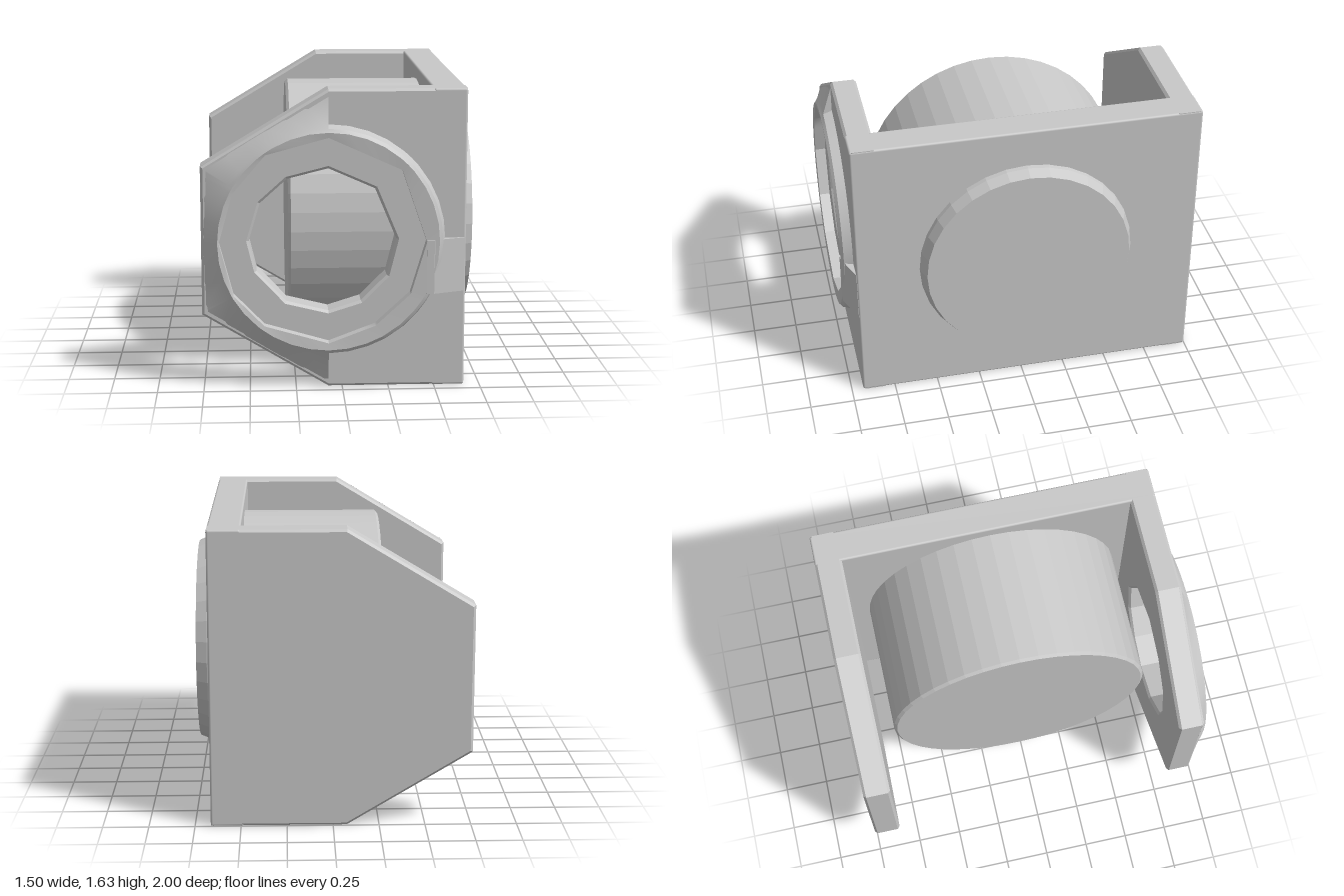
import * as THREE from 'three';
import { toCreasedNormals } from 'three/addons/utils/BufferGeometryUtils.js';
import { RoundedBoxGeometry } from 'three/addons/geometries/RoundedBoxGeometry.js';

const CX = -0.075, CY = 0.815; // centre of the arm opening
const toVecs = pts => pts.map(p => new THREE.Vector2(p[0], p[1]));

// Arm outline, and the two faceted openings relative to the centre
const outline = [[0.663, 0], [0.663, 1.63], [-0.075, 1.63], [-0.755, 1.22], [-0.755, 0.41], [-0.075, 0]];
const bore = [[0, 0.39], [-0.22, 0.335], [-0.365, 0.205], [-0.425, 0], [-0.385, -0.165], [-0.225, -0.335],
  [0, -0.39], [0.175, -0.335], [0.315, -0.195], [0.365, 0.005], [0.25, 0.28]];
const lip = [[0, 0.565], [-0.335, 0.475], [-0.51, 0.27], [-0.585, 0], [-0.51, -0.285], [-0.345, -0.455],
  [0, -0.555], [0.25, -0.46], [0.44, -0.285], [0.525, 0], [0.39, 0.39]];

// Distance from the centre to a polygon in the direction of an angle
function reach(poly, a) {
  const dx = Math.cos(a), dy = Math.sin(a);
  let best = 0;
  poly.forEach((p, i) => {
    const q = poly[(i + 1) % poly.length];
    const ex = q[0] - p[0], ey = q[1] - p[1], det = dy * ex - dx * ey;
    if (Math.abs(det) < 1e-9) return;
    const t = (p[1] * ex - p[0] * ey) / det, u = (dx * p[1] - dy * p[0]) / det;
    if (t > 0 && u > -1e-4 && u < 1 + 1e-4) best = Math.max(best, t);
  });
  return best;
}

// Plate with slightly bevelled edges and an optional opening
function armGeometry(z0, z1, hole) {
  const b = 0.014;
  const shape = new THREE.Shape(toVecs(outline));
  if (hole) shape.holes.push(new THREE.Path(toVecs(bore.map(p => [p[0] + CX, p[1] + CY]))));
  const geo = new THREE.ExtrudeGeometry(shape, {
    depth: z1 - z0 - 2 * b, bevelThickness: b, bevelSize: b, bevelOffset: -b, bevelSegments: 1,
  });
  return geo.translate(0, 0, z0 + b);
}

// Raised collar: round on the right, sloping out to the arm's edge on the left
function collarGeometry() {
  const edge = outline.map(p => [p[0] - CX, p[1] - CY]);
  const angles = [];
  for (let d = 0; d < 360; d += 10) angles.push(d * Math.PI / 180);
  [...lip, edge[3], edge[4]].forEach(p => angles.push((Math.atan2(p[1], p[0]) + 2 * Math.PI) % (2 * Math.PI)));
  angles.sort((a, b) => a - b);
  const unique = angles.filter((a, i) => i === 0 || a - angles[i - 1] > 1e-4);

  const columns = [];
  const addColumn = (a, left) => {
    const r = reach(lip, a);
    const profile = [[r, 0.93], [r, 0.995], [0.593, 1], [0.612, 0.985], left ? [reach(edge, a), 0.922] : [0.63, 0.93]];
    columns.push(profile.map(([d, z]) => [CX + d * Math.cos(a), CY + d * Math.sin(a), z]));
  };
  for (const a of unique) {
    const c = Math.cos(a);
    if (Math.abs(c) < 1e-4) { // both profiles meet at the seams
      const top = Math.sin(a) > 0;
      addColumn(a, !top);
      addColumn(a, top);
    } else addColumn(a, c < 0);
  }

  const pos = [];
  columns.forEach((p, i) => {
    const q = columns[(i + 1) % columns.length];
    for (let k = 0; k < p.length - 1; k++) {
      pos.push(...p[k], ...p[k + 1], ...q[k + 1], ...p[k], ...q[k + 1], ...q[k]);
    }
  });
  const geo = new THREE.BufferGeometry();
  geo.setAttribute('position', new THREE.Float32BufferAttribute(pos, 3));
  return toCreasedNormals(geo, 0.45);
}

// Closed turned part lying along x, from [radius, x] points
function turnedX(points, sides) {
  const geo = new THREE.LatheGeometry(toVecs(points), sides);
  geo.rotateZ(-Math.PI / 2);
  return toCreasedNormals(geo, 0.1);
}

export function createModel() {
  const group = new THREE.Group();
  const grey = new THREE.MeshStandardMaterial({ color: 0xc8c8c8, side: THREE.DoubleSide });
  grey.name = 'plain grey';
  const add = (name, geo, x = 0, y = 0, z = 0) => {
    const mesh = new THREE.Mesh(geo, grey);
    mesh.name = name;
    mesh.position.set(x, y, z);
    group.add(mesh);
  };

  // Bracket: side plate with an arm at each end
  add('sidePlate', new RoundedBoxGeometry(0.18, 1.63, 1.935, 2, 0.012), 0.575, 0.815, -0.0325);
  add('backArm', armGeometry(-1, -0.85, false));
  add('frontArm', armGeometry(0.79, 0.935, true));
  add('frontCollar', collarGeometry());

  // Wedge tab joining the collar to the side plate
  const wedge = new THREE.Shape(toVecs([[0.45, -1], [0.49, -1], [0.66, -0.935], [0.66, -0.925], [0.45, -0.925]]));
  const tab = new THREE.ExtrudeGeometry(wedge, { depth: 0.295, bevelEnabled: false });
  tab.rotateX(-Math.PI / 2);
  // after the turn, shape y runs along -z and depth along +y
  add('collarTab', tab, 0, 0.53, 0);

  // Roller inside and tapered boss outside
  add('roller', turnedX([[0, -0.285], [0.73, -0.285], [0.745, -0.27], [0.745, 0.5], [0, 0.5]], 44), 0, CY, -0.015);
  add('sideBoss', turnedX([[0, 0.65], [0.605, 0.65], [0.6, 0.69], [0.575, 0.75], [0, 0.75]], 32), 0, CY, -0.02);
  return group;
}
